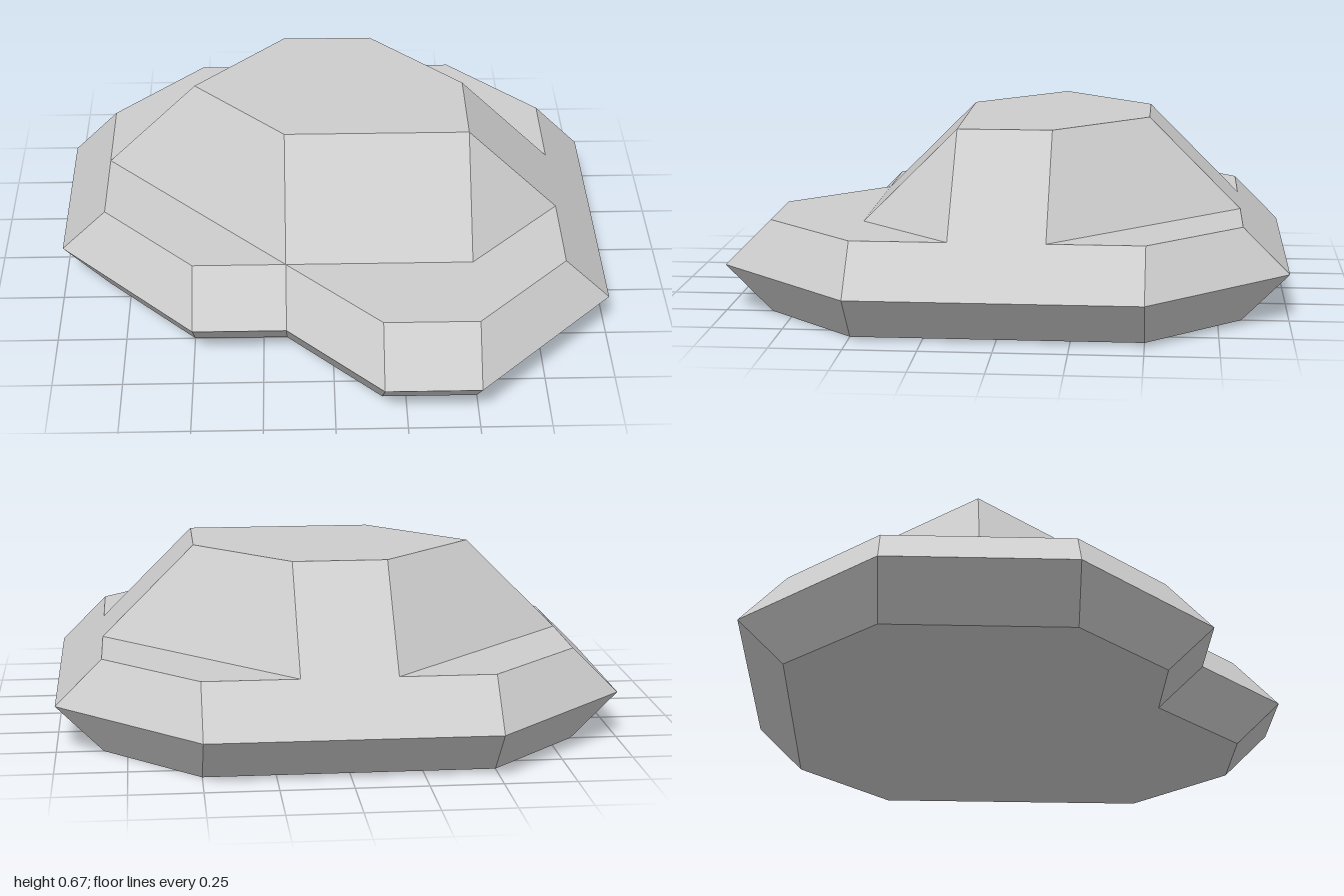
import * as THREE from 'three';

const U = 1 / 6; // every corner lies on a grid of sixths

const stone = new THREE.MeshStandardMaterial({ color: 0xcccccc });
stone.name = 'stone grey';

// Rings are [x, z] corners, listed clockwise as seen from above.
const RIM = [[-3, -6], [3, -6], [6, -3], [6, 3], [3, 6], [1, 6], [-1, 4], [-3, 4], [-6, 1], [-6, -3]];
const INSET = [[-3, -5], [3, -5], [5, -3], [5, 3], [3, 5], [1, 5], [-1, 3], [-3, 3], [-5, 1], [-5, -3]];
const HUMP_FOOT = [[-1, -5], [1, -5], [5, -1], [5, 1], [3, 3], [-1, 3], [-5, -1]];
const HUMP_TOP = [[-1, -3], [1, -3], [3, -1], [3, 1], [3, 1], [-1, 1], [-3, -1]];
const PLATEAU = [[-1, -3], [1, -3], [3, -1], [3, 1], [-1, 1], [-3, -1]];

const SHELVES = {
  frontLeftShelf: [[-1, 3], [3, 3], [5, 1], [5, 3], [3, 5], [1, 5]],
  frontRightShelf: [[-5, -1], [-1, 3], [-3, 3], [-5, 1]],
  backLeftShelf: [[1, -5], [3, -5], [5, -3], [5, -1]],
  backRightShelf: [[-3, -5], [-1, -5], [-5, -1], [-5, -3]],
};

function meshFrom(name, positions) {
  const geometry = new THREE.BufferGeometry();
  geometry.setAttribute('position', new THREE.Float32BufferAttribute(positions, 3));
  geometry.computeVertexNormals(); // unshared corners give flat facets
  const mesh = new THREE.Mesh(geometry, stone);
  mesh.name = name;
  return mesh;
}

// Sloping sides between stacked rings of equal length
function loft(name, levels) {
  const out = [];
  const put = ([x, z], y) => out.push(x * U, y * U, z * U);
  for (let k = 0; k < levels.length - 1; k++) {
    const [low, y0] = levels[k];
    const [high, y1] = levels[k + 1];
    low.forEach((a, i) => {
      const j = (i + 1) % low.length;
      const b = low[j], A = high[i], B = high[j];
      put(a, y0); put(B, y1); put(b, y0);
      if (A[0] !== B[0] || A[1] !== B[1]) {
        put(a, y0); put(A, y1); put(B, y1);
      }
    });
  }
  return meshFrom(name, out);
}

// Level polygon facing up or down
function level(name, ring, y, up = true) {
  const points = ring.map(([x, z]) => new THREE.Vector2(x, z));
  const out = [];
  for (const tri of THREE.ShapeUtils.triangulateShape(points, [])) {
    const corners = tri.map((i) => ring[i]);
    const [a, b, c] = corners;
    const area = (b[0] - a[0]) * (c[1] - a[1]) - (b[1] - a[1]) * (c[0] - a[0]);
    if ((area < 0) !== up) corners.reverse();
    for (const [x, z] of corners) out.push(x * U, y * U, z * U);
  }
  return meshFrom(name, out);
}

export function createModel() {
  const rock = new THREE.Group();
  rock.name = 'rock';

  // Wide foot: flares out to the rim, then slopes back in
  rock.add(loft('footSides', [[INSET, 0], [RIM, 1], [INSET, 2]]));
  rock.add(level('underside', INSET, 0, false));

  // Flat ledges around the hump
  for (const [name, ring] of Object.entries(SHELVES)) rock.add(level(name, ring, 2));

  // Upper hump and its flat top
  rock.add(loft('humpSides', [[HUMP_FOOT, 2], [HUMP_TOP, 4]]));
  rock.add(level('plateau', PLATEAU, 4));

  return rock;
}
